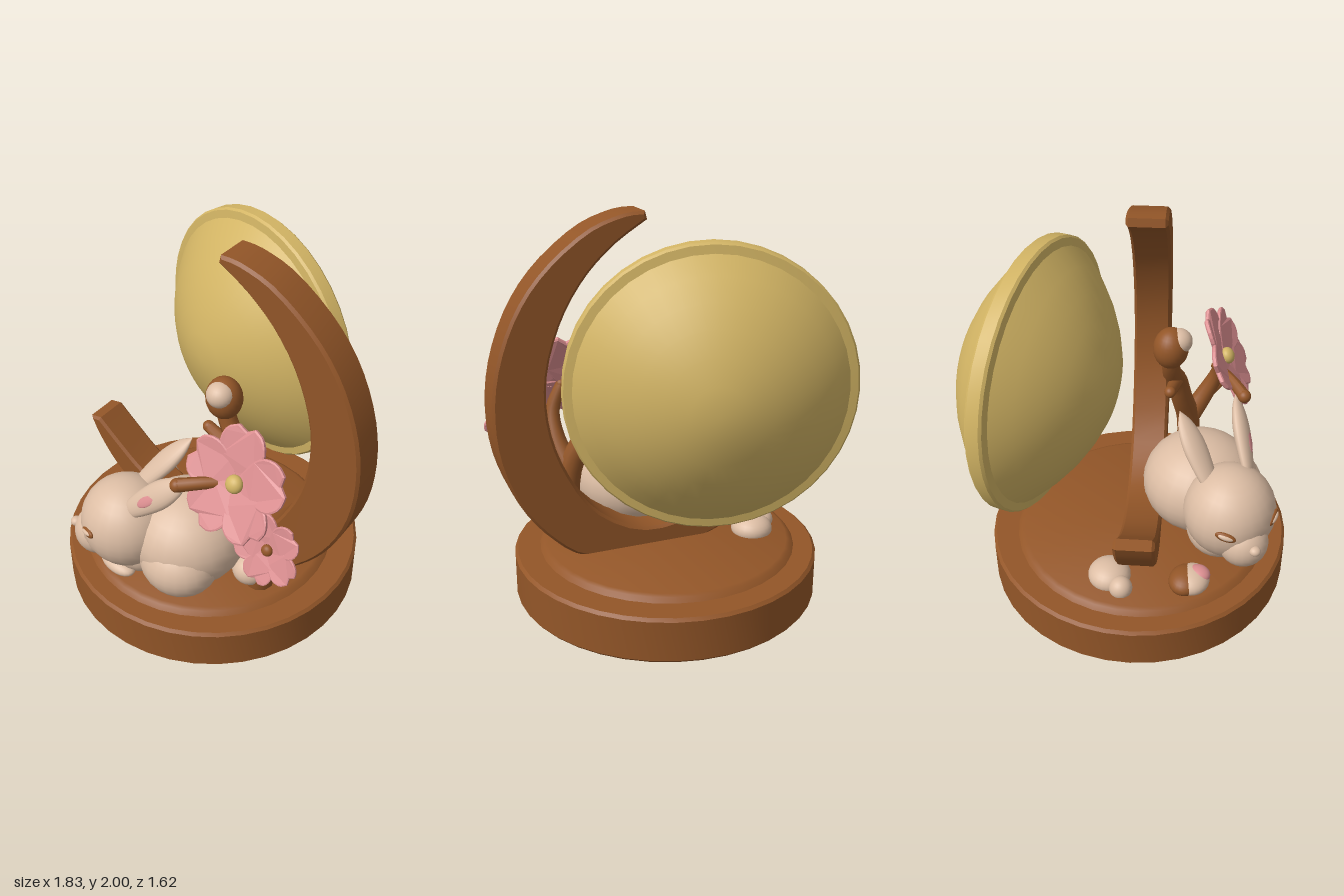
import * as THREE from 'three';
import { toCreasedNormals } from 'three/addons/utils/BufferGeometryUtils.js';

const V = (a) => new THREE.Vector3(...a);
const P = (list) => list.map(([x, y]) => new THREE.Vector2(x, y));

function material(name, color) {
  const m = new THREE.MeshStandardMaterial({ color });
  m.name = name;
  return m;
}

export function createModel() {
  const model = new THREE.Group();
  model.name = 'rabbitMoonOrnament';
  const wood = material('wood brown', 0x935628);
  const gold = material('moon gold', 0xd2b464);
  const cream = material('fur cream', 0xdcbda4);
  const pink = material('blossom pink', 0xdb8e90);

  const add = (name, geo, mat, pos = [0, 0, 0], parent = model) => {
    const mesh = new THREE.Mesh(geo, mat);
    mesh.name = name;
    mesh.position.set(...pos);
    parent.add(mesh);
    return mesh;
  };
  const ball = new THREE.SphereGeometry(1, 24, 16);
  const blob = (name, mat, pos, radii, parent = model) => {
    const mesh = add(name, ball, mat, pos, parent);
    mesh.scale.set(...radii);
    return mesh;
  };
  // turn an object so its y axis is exact and its z axis is near the hint
  const orient = (obj, yDir, zHint) => {
    const y = V(yDir).normalize();
    const x = new THREE.Vector3().crossVectors(y, V(zHint)).normalize();
    const z = new THREE.Vector3().crossVectors(x, y);
    obj.quaternion.setFromRotationMatrix(new THREE.Matrix4().makeBasis(x, y, z));
    return obj;
  };
  const lathe = (points, sides) => toCreasedNormals(new THREE.LatheGeometry(P(points), sides), 0.55);

  // Round plinth with a raised, slightly tapered top
  add('base', lathe([[0, 0], [0.79, 0], [0.8, 0.012], [0.8, 0.22], [0.785, 0.235], [0, 0.235]], 40), wood, [-0.04, 0, 0.01]);
  add('baseTop', lathe([[0.69, 0.22], [0.66, 0.258], [0.64, 0.267], [0, 0.268]], 36), wood, [-0.05, 0, 0.03]);

  // Lens-shaped moon with a raised rim
  const bulge = [[0, 0.38], [0.13, 0.362], [0.25, 0.325], [0.36, 0.272], [0.46, 0.21], [0.56, 0.13], [0.64, 0.048]];
  const moonProfile = [
    ...bulge.map(([r, h]) => [r, -h]),
    [0.68, -0.042], [0.69, -0.03], [0.69, 0.03], [0.68, 0.042],
    ...bulge.slice().reverse(),
  ];
  const moon = add('moon', lathe(moonProfile, 40), gold, [-0.22, 1.23, -0.43]);
  moon.rotation.x = Math.PI / 2;

  // Crescent frame, set at an angle across the base
  const crescentShape = new THREE.Shape();
  crescentShape.moveTo(0.095, 2.0);
  crescentShape.splineThru(P([[0.21, 1.99], [0.39, 1.92], [0.6, 1.75], [0.745, 1.55], [0.84, 1.3], [0.87, 1.05],
    [0.84, 0.8], [0.745, 0.57], [0.6, 0.38], [0.42, 0.25], [0.1, 0.2], [-0.2, 0.245], [-0.38, 0.32],
    [-0.59, 0.46], [-0.72, 0.63], [-0.775, 0.75]]));
  crescentShape.lineTo(-0.71, 0.76);
  crescentShape.splineThru(P([[-0.6, 0.66], [-0.43, 0.52], [-0.2, 0.4], [0.1, 0.36], [0.36, 0.5], [0.52, 0.75],
    [0.595, 1.0], [0.595, 1.25], [0.52, 1.5], [0.4, 1.7], [0.25, 1.85], [0.085, 1.96]]));
  const crescentGeo = new THREE.ExtrudeGeometry(crescentShape, {
    depth: 0.17, curveSegments: 3, bevelThickness: 0.014, bevelSize: 0.014, bevelOffset: -0.014, bevelSegments: 1,
  });
  crescentGeo.translate(0, 0, -0.085);
  const crescent = add('crescent', toCreasedNormals(crescentGeo, 0.5), wood, [0, 0, 0.025]);
  crescent.rotation.y = 0.3;

  // Rabbit, facing the front right corner
  const rabbit = new THREE.Group();
  rabbit.name = 'rabbit';
  model.add(rabbit);
  blob('body', cream, [0.13, 0.49, 0.3], [0.31, 0.265, 0.31], rabbit);
  blob('haunch', cream, [0.21, 0.42, 0.42], [0.22, 0.18, 0.2], rabbit);
  blob('head', cream, [-0.09, 0.54, 0.53], [0.245, 0.245, 0.24], rabbit);
  blob('snout', cream, [-0.2, 0.45, 0.64], [0.13, 0.13, 0.13], rabbit);
  blob('chest', cream, [-0.06, 0.39, 0.48], [0.2, 0.15, 0.18], rabbit);
  blob('nose', cream, [-0.285, 0.49, 0.725], [0.03, 0.025, 0.03], rabbit);
  blob('frontPaw', cream, [-0.07, 0.305, 0.62], [0.13, 0.045, 0.07], rabbit);
  blob('tail', cream, [0.43, 0.345, 0.13], [0.095, 0.085, 0.095], rabbit);

  // Closed eyes: brown almond with a cream lid
  for (const [pos, out] of [[[-0.1, 0.57, 0.763], [-0.1, 0.1, 1]], [[-0.326, 0.57, 0.58], [-1, 0.1, 0.15]]]) {
    const eye = new THREE.Group();
    eye.name = 'eye';
    eye.position.set(...pos);
    orient(eye, [0, 1, 0], out);
    eye.rotateZ(out[2] > 0.5 ? 0.25 : -0.25);
    blob('eyeline', wood, [0, 0, 0], [0.055, 0.026, 0.016], eye);
    blob('eyelid', cream, [0, 0.004, 0.004], [0.043, 0.016, 0.018], eye);
    rabbit.add(eye);
  }

  // Ears: flattened, tapering, with a pink patch inside
  const earGeo = new THREE.LatheGeometry(new THREE.SplineCurve(
    P([[0.001, 0], [0.045, 0.04], [0.068, 0.16], [0.07, 0.26], [0.045, 0.35], [0.001, 0.41]])).getPoints(16), 20);
  const ears = [
    [[-0.14, 0.66, 0.46], [0.04, 0.99, 0.2], [-0.4, 0.4, 1]],
    [[0.0, 0.69, 0.6], [0.29, 0.99, 0.42], [0.1, 0.4, 1]],
  ];
  for (const [base, tip, facing] of ears) {
    const ear = new THREE.Group();
    ear.name = 'ear';
    ear.position.set(...base);
    orient(ear, V(tip).sub(V(base)).toArray(), facing);
    const shell = add('earShell', earGeo, cream, [0, 0, 0], ear);
    shell.scale.set(1, V(tip).distanceTo(V(base)) / 0.41, 0.55);
    if (facing[0] > 0) blob('innerEar', pink, [0.005, 0.2, 0.032], [0.028, 0.07, 0.009], ear);
    rabbit.add(ear);
  }

  // Stones and a half-husked egg beside the rabbit
  blob('stone', cream, [-0.51, 0.28, 0.03], [0.11, 0.075, 0.11]);
  blob('stoneSmall', cream, [-0.58, 0.285, 0.12], [0.06, 0.06, 0.06]);
  blob('eggHusk', wood, [-0.415, 0.29, 0.41], [0.1, 0.06, 0.085]);
  blob('egg', cream, [-0.4, 0.29, 0.44], [0.1, 0.062, 0.09]);
  blob('eggPatch', pink, [-0.375, 0.315, 0.465], [0.055, 0.041, 0.062]);

  // Tapering blossom branches
  const branch = (name, path, r0, r1) => {
    const curve = new THREE.CatmullRomCurve3(path.map(V));
    const steps = 14, sides = 10;
    const geo = new THREE.TubeGeometry(curve, steps, 1, sides);
    const pos = geo.attributes.position;
    for (let i = 0; i < pos.count; i++) {
      const t = Math.floor(i / (sides + 1)) / steps;
      const c = curve.getPointAt(t);
      const p = new THREE.Vector3().fromBufferAttribute(pos, i).sub(c).multiplyScalar(r0 + (r1 - r0) * t).add(c);
      pos.setXYZ(i, p.x, p.y, p.z);
    }
    geo.computeVertexNormals();
    add(name, geo, wood);
    const end = path[path.length - 1];
    blob(name + 'Tip', wood, end, [r1, r1, r1]);
  };
  branch('trunk', [[0.47, 0.25, 0.1], [0.48, 0.45, 0.11], [0.45, 0.65, 0.11], [0.37, 0.82, 0.1], [0.31, 0.98, 0.09],
    [0.21, 1.1, 0.09], [0.17, 1.22, 0.1]], 0.075, 0.045);
  branch('sideBranch', [[0.46, 0.62, 0.11], [0.53, 0.76, 0.18], [0.55, 0.9, 0.24], [0.5, 1.04, 0.27]], 0.06, 0.03);
  branch('lowBranch', [[0.53, 0.74, 0.17], [0.64, 0.78, 0.23], [0.74, 0.82, 0.27]], 0.04, 0.025);
  branch('leftTwig', [[0.33, 0.99, 0.09], [0.2, 1.02, 0.11], [0.085, 1.06, 0.13]], 0.04, 0.03);
  branch('frontTwig', [[0.46, 1.02, 0.25], [0.36, 1.01, 0.38], [0.28, 0.99, 0.47]], 0.025, 0.035);

  // Bud at the branch end
  blob('budHusk', wood, [0.17, 1.27, 0.1], [0.095, 0.11, 0.09]);
  blob('budTip', cream, [0.185, 1.31, 0.135], [0.07, 0.065, 0.07]);

  // Five-petalled blossoms with notched, slightly cupped petals
  const petalShape = new THREE.Shape();
  petalShape.moveTo(-0.025, 0);
  petalShape.splineThru(P([[-0.1, 0.1], [-0.125, 0.18], [-0.1, 0.25], [-0.045, 0.28]]));
  petalShape.lineTo(0, 0.255);
  petalShape.lineTo(0.045, 0.28);
  petalShape.splineThru(P([[0.1, 0.25], [0.125, 0.18], [0.1, 0.1], [0.025, 0]]));
  const petalGeo = new THREE.ExtrudeGeometry(petalShape, {
    depth: 0.014, curveSegments: 2, bevelThickness: 0.006, bevelSize: 0.008, bevelOffset: -0.008, bevelSegments: 1,
  });
  const pp = petalGeo.attributes.position;
  for (let i = 0; i < pp.count; i++) {
    const x = pp.getX(i), y = pp.getY(i);
    pp.setZ(i, pp.getZ(i) + 1.6 * x * x + 0.4 * y * y - 0.01);
  }
  petalGeo.computeVertexNormals();
  const blossom = (pos, normal, size, turn, heart) => {
    const flower = new THREE.Group();
    flower.name = 'blossom';
    flower.position.set(...pos);
    flower.quaternion.setFromUnitVectors(new THREE.Vector3(0, 0, 1), V(normal).normalize());
    flower.scale.setScalar(size);
    for (let i = 0; i < 5; i++) {
      const petal = add('petal', petalGeo, pink, [0, 0, 0.002 * i], flower);
      petal.rotation.z = turn + (i * Math.PI * 2) / 5;
    }
    blob('flowerHeart', heart, [0, 0, 0.03], [0.045, 0.045, 0.035], flower);
    model.add(flower);
  };
  blossom([0.5, 1.05, 0.28], [0.22, 0.5, 1], 1, 0.12, gold);
  blossom([0.745, 0.825, 0.29], [0.25, 0.35, 1], 0.64, 0.5, wood);

  return model;
}
